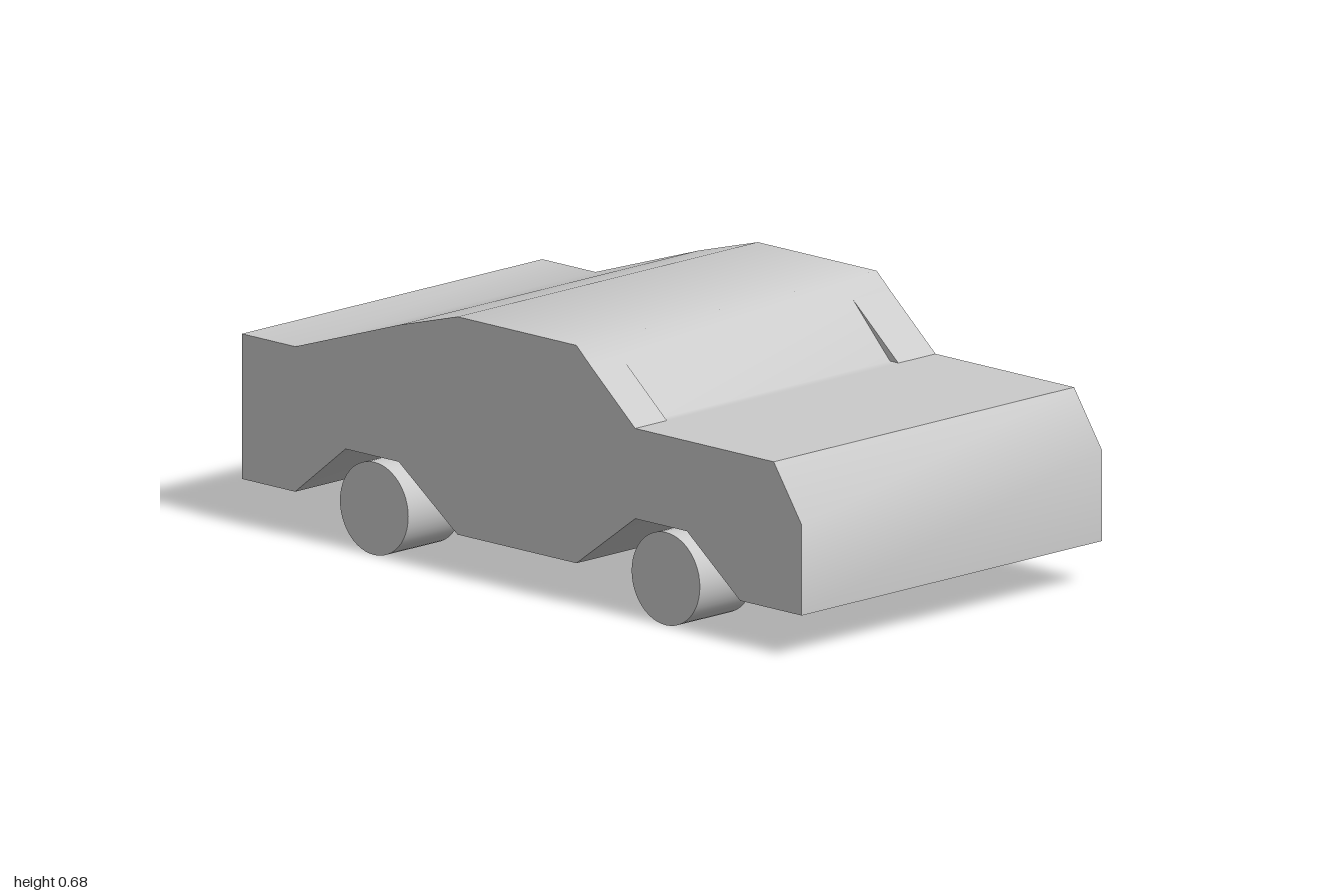
import * as THREE from 'three';
import { toCreasedNormals } from 'three/addons/utils/BufferGeometryUtils.js';

const material = new THREE.MeshStandardMaterial({ color: 0xcccccc });

// Extrudes a side profile (x, y points) from z0 to z1.
function extrudeProfile(points, z0, z1) {
  const shape = new THREE.Shape(points.map(([x, y]) => new THREE.Vector2(x, y)));
  const geometry = new THREE.ExtrudeGeometry(shape, { depth: z1 - z0, bevelEnabled: false });
  geometry.translate(0, 0, z0);
  return toCreasedNormals(geometry, THREE.MathUtils.degToRad(50));
}

function addPart(group, name, geometry) {
  const mesh = new THREE.Mesh(geometry, material);
  mesh.name = name;
  group.add(mesh);
  return mesh;
}

export function createModel() {
  const car = new THREE.Group();
  car.name = 'car';
  const halfWidth = 0.545;

  // Windscreen recess: upper edge, foot of the glass, foot of the pillars
  const glassTop = [0.243, 0.641];
  const glassFoot = [0.375, 0.503];
  const pillarFoot = [0.405, 0.503];

  // Body, counter-clockwise from the lower back corner
  const profile = [
    [-1, 0.122], [-0.81, 0.122], [-0.63, 0.266], [-0.44, 0.266], // rear wheel arch
    [-0.23, 0.112], [0.195, 0.112],                              // sill
    [0.405, 0.266], [0.59, 0.266], [0.78, 0.117], [1, 0.117],    // front wheel arch
    [1, 0.355], [0.9, 0.503],                                    // nose
    pillarFoot, glassFoot, glassTop,
    [0.195, 0.684], [-0.23, 0.684], [-0.44, 0.625],              // roof
    [-0.81, 0.503], [-1, 0.503],                                 // tail
  ];
  addPart(car, 'body', extrudeProfile(profile, -halfWidth, halfWidth));

  // Pillars on both sides of the recessed windscreen
  const pillar = [glassTop, glassFoot, pillarFoot];
  addPart(car, 'leftPillar', extrudeProfile(pillar, 0.43, halfWidth));
  addPart(car, 'rightPillar', extrudeProfile(pillar, -halfWidth, -0.41));

  // Wheels
  const radius = 0.122;
  const wheel = new THREE.CylinderGeometry(radius, radius, 0.195, 48);
  wheel.rotateX(Math.PI / 2);
  for (const [end, x] of [['rear', -0.538], ['front', 0.504]]) {
    for (const side of [1, -1]) {
      const mesh = addPart(car, `${end}Wheel`, wheel);
      mesh.position.set(x, radius + 0.002, side * 0.437);
    }
  }
  return car;
}
